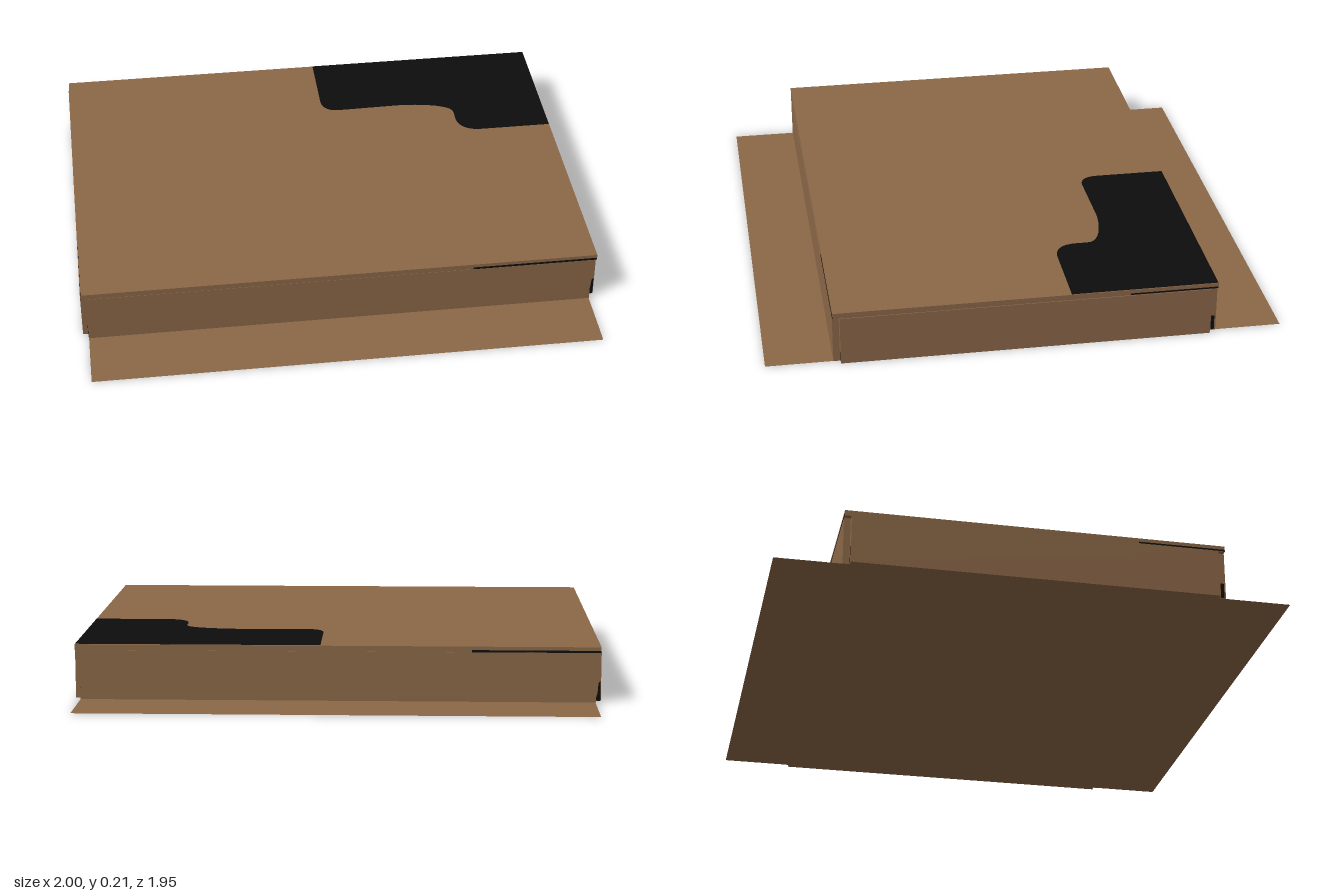
import * as THREE from 'three';

export function createModel() {
  const model = new THREE.Group();
  const cardboard = new THREE.MeshStandardMaterial({ color: 0x8c6848 });
  cardboard.name = 'cardboard brown';
  const black = new THREE.MeshStandardMaterial({ color: 0x0d0d0d });
  black.name = 'black print';
  const sheet = new THREE.MeshStandardMaterial({ color: 0x8c6848, side: THREE.DoubleSide });
  sheet.name = 'cardboard sheet brown';

  const add = (name, geometry, material, x, y, z, parent = model) => {
    const mesh = new THREE.Mesh(geometry, material);
    mesh.name = name;
    mesh.position.set(x, y, z);
    parent.add(mesh);
    return mesh;
  };
  const box = (name, w, h, d, x, y, z, material = cardboard, parent = model) =>
    add(name, new THREE.BoxGeometry(w, h, d), material, x, y, z, parent);

  // Thin base sheet whose front and back ends stick out as flaps
  add('baseSheet', new THREE.PlaneGeometry(1.952, 1.952).rotateX(-Math.PI / 2), sheet, 0, 0, 0);

  // Closed body and lid
  box('body', 1.95, 0.187, 1.395, 0, 0.0965, 0);
  box('lid', 1.99, 0.022, 1.446, 0, 0.201, 0);

  // Wall panels, leaving a small notch at every corner
  for (const s of [-1, 1]) {
    box(s > 0 ? 'leftWall' : 'rightWall', 0.025, 0.19, 1.395, s * 0.9855, 0.095, 0);
    box(s > 0 ? 'frontWall' : 'backWall', 1.954, 0.19, 0.025, 0, 0.095, s * 0.7115);
  }

  // Printed patch in the back corner of the lid; shape y is -z
  const patch = new THREE.Shape();
  patch.moveTo(0.063, 0.722);
  patch.lineTo(0.063, 0.44);
  patch.quadraticCurveTo(0.07, 0.377, 0.13, 0.375);
  patch.lineTo(0.4, 0.38);
  patch.bezierCurveTo(0.5, 0.375, 0.615, 0.35, 0.612, 0.3);
  patch.lineTo(0.612, 0.245);
  patch.quadraticCurveTo(0.62, 0.17, 0.7, 0.165);
  patch.lineTo(0.994, 0.165);
  patch.lineTo(0.994, 0.722);
  add('lidPatch', new THREE.ShapeGeometry(patch, 10).rotateX(-Math.PI / 2), black, 0, 0.2135, 0);

  // Printed lines along the lid rim and narrow wedges in the corner notches
  const wedge = new THREE.Shape([
    new THREE.Vector2(0.976, 0.002), new THREE.Vector2(0.996, 0.002),
    new THREE.Vector2(0.996, 0.08), new THREE.Vector2(0.988, 0.07),
    new THREE.Vector2(0.985, 0.03),
  ]);
  for (const turn of [0, Math.PI]) {
    const print = new THREE.Group();
    print.name = turn ? 'backPrint' : 'frontPrint';
    print.rotation.y = turn;
    model.add(print);
    box('rimLine', 0.485, 0.008, 0.002, 0.7515, 0.1945, 0.723, black, print);
    add('cornerWedge', new THREE.ShapeGeometry(wedge), black, 0, 0, 0.699, print);
    box('sideRimLine', 0.002, 0.006, 0.335, 0.995, 0.1945, -0.555, black, print);
    box('sideCornerMark', 0.002, 0.06, 0.013, 0.977, 0.032, -0.7115, black, print);
  }

  return model;
}
